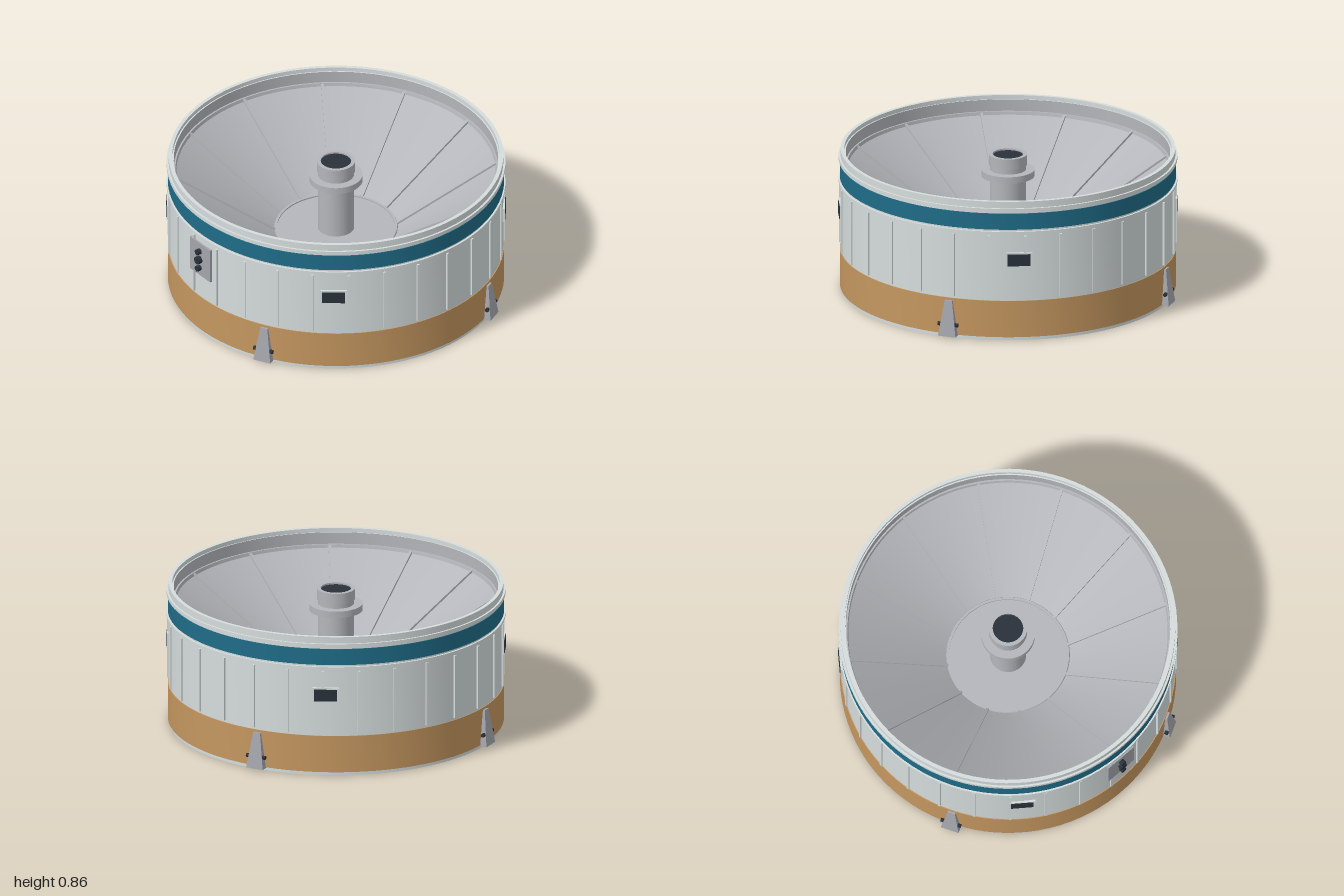
import * as THREE from 'three';
import { toCreasedNormals } from 'three/addons/utils/BufferGeometryUtils.js';

const material = (name, color) => {
  const m = new THREE.MeshStandardMaterial({ color });
  m.name = name;
  return m;
};

export function createModel() {
  const model = new THREE.Group();
  model.name = 'module';
  const shell = material('shell white', 0xd6dddd);
  const tan = material('insulation tan', 0xc59760);
  const blue = material('stripe blue', 0x1f6c88);
  const grey = material('bowl grey', 0xb4b6bb);
  const dark = material('dark', 0x29313a);
  const steel = material('steel', 0xa4a6ad);

  const add = (parent, name, geometry, mat, x = 0, y = 0, z = 0) => {
    const mesh = new THREE.Mesh(geometry, mat);
    mesh.name = name;
    mesh.position.set(x, y, z);
    parent.add(mesh);
    return mesh;
  };
  // Revolved surface; a profile running upwards faces outwards
  const lathe = (name, mat, points, segments = 96) => {
    const g = new THREE.LatheGeometry(points.map(p => new THREE.Vector2(...p)), segments);
    return add(model, name, toCreasedNormals(g, 0.5), mat);
  };
  // Solid ring with a rectangular section
  const ring = (name, mat, inner, outer, y0, y1) =>
    lathe(name, mat, [[inner, y0], [outer, y0], [outer, y1], [inner, y1], [inner, y0]]);
  // Group whose local +z points outwards; angle in degrees from +x towards +z
  const radial = (name, degrees) => {
    const g = new THREE.Group();
    g.name = name;
    g.rotation.y = THREE.MathUtils.degToRad(90 - degrees);
    model.add(g);
    return g;
  };

  // Outer shell, bottom to top
  ring('bottomRim', shell, 0.963, 0.985, 0, 0.02);
  lathe('insulationBand', tan, [[0.965, 0.02], [0.99, 0.02], [0.99, 0.245], [0.98, 0.245]]);
  lathe('outerWall', shell, [[0.985, 0.24], [0.985, 0.69]]);
  ring('lowerBead', shell, 0.97, 0.997, 0.66, 0.677);
  lathe('blueStripe', blue, [[0.98, 0.688], [0.99, 0.688], [0.99, 0.787], [0.98, 0.787]]);
  lathe('topRim', shell, [[0.985, 0.78], [0.985, 0.86], [0.963, 0.86], [0.963, 0.835], [0.955, 0.835]]);
  ring('upperBead', shell, 0.97, 0.997, 0.797, 0.82);

  // Dished upper deck
  lathe('bowlLip', grey, [[0.955, 0.836], [0.955, 0.756]]);
  lathe('bowl', grey, [[0.956, 0.756], [0.36, 0.36]]);
  lathe('bowlSeam', grey, [[0.956, 0.765], [0.945, 0.765], [0.94, 0.745]]);
  lathe('bowlFloor', grey, [[0.365, 0.36], [0.36, 0.37], [0.345, 0.37], [0.345, 0.362], [0, 0.362]]);
  const slope = Math.atan2(0.396, 0.596);
  for (let i = 0; i < 12; i++) {
    const g = radial('bowlRib', 15 + 30 * i);
    const rib = add(g, 'rib', new THREE.BoxGeometry(0.016, 0.02, 0.71), grey, 0, 0.56, 0.658);
    rib.rotation.x = -slope;
  }

  // Central tube with collar
  lathe('centralTube', grey, [[0.107, 0.35], [0.107, 0.76], [0.113, 0.76], [0.113, 0.825],
    [0.09, 0.825], [0.09, 0.8]], 48);
  ring('tubeCollar', grey, 0.1, 0.157, 0.69, 0.73);
  lathe('tubeOpening', dark, [[0.091, 0.815], [0, 0.815]], 48);

  // Recessed underside
  lathe('innerSkirt', shell, [[0.965, 0.3], [0.965, 0.01]]);
  ring('innerSkirtBead', steel, 0.953, 0.968, 0.125, 0.15);
  lathe('underside', tan, [[0, 0.29], [0.966, 0.29]]);
  ring('undersideSeal', dark, 0.945, 0.966, 0.275, 0.291);
  ring('hubSeal', dark, 0.325, 0.357, 0.275, 0.291);
  lathe('hubPlate', grey, [[0, 0.283], [0.33, 0.283]], 64);
  const boltHead = new THREE.CylinderGeometry(0.013, 0.013, 0.016, 10);
  for (let i = 0; i < 24; i++) {
    const a = (i * Math.PI) / 12;
    add(model, 'undersideBolt', boltHead, grey, 0.46 * Math.cos(a), 0.284, 0.46 * Math.sin(a));
  }

  // Vertical stiffeners
  const stiffener = new THREE.BoxGeometry(0.015, 0.39, 0.025);
  for (let i = 0; i < 29; i++) {
    add(radial('stiffener', ((i + 0.5) * 360) / 29), 'stiffenerBar', stiffener, shell, 0, 0.453, 0.983);
  }

  // Windows
  for (let i = 0; i < 4; i++) {
    const g = radial('window', 20.7 + 90 * i);
    add(g, 'windowFrame', new THREE.BoxGeometry(0.157, 0.092, 0.04), shell, 0, 0.5, 0.975);
    add(g, 'windowGlass', new THREE.BoxGeometry(0.135, 0.072, 0.006), dark, 0, 0.5, 0.996);
  }

  // Tapered hold-down brackets with cross bolts
  const bracket = new THREE.BoxGeometry(0.11, 0.215, 0.07);
  const p = bracket.attributes.position;
  for (let i = 0; i < p.count; i++) {
    const top = p.getY(i) > 0;
    if (top) p.setX(i, p.getX(i) * 0.42);
    p.setZ(i, p.getZ(i) > 0 ? (top ? 1.002 : 1.03) : 0.958);
  }
  bracket.computeVertexNormals();
  const pin = new THREE.CylinderGeometry(0.012, 0.012, 0.125, 12).rotateZ(Math.PI / 2);
  for (let i = 0; i < 4; i++) {
    const g = radial('holdDown', 45 + 90 * i);
    add(g, 'holdDownBracket', bracket, steel, 0, 0.1225, 0);
    add(g, 'holdDownBolt', pin, dark, 0, 0.085, 1.008);
  }

  // Connector panel with three sockets
  const panel = radial('connectorPanel', 163.5);
  add(panel, 'panelPlate', new THREE.BoxGeometry(0.2, 0.22, 0.035), steel, 0, 0.51, 0.977);
  const socket = new THREE.CylinderGeometry(1, 1, 0.03, 20).rotateX(Math.PI / 2);
  [[0.567, 0.018], [0.51, 0.024], [0.453, 0.018]].forEach(([y, r]) =>
    add(panel, 'connectorSocket', socket, dark, 0, y, 1.005).scale.set(r, r, 1));

  return model;
}
